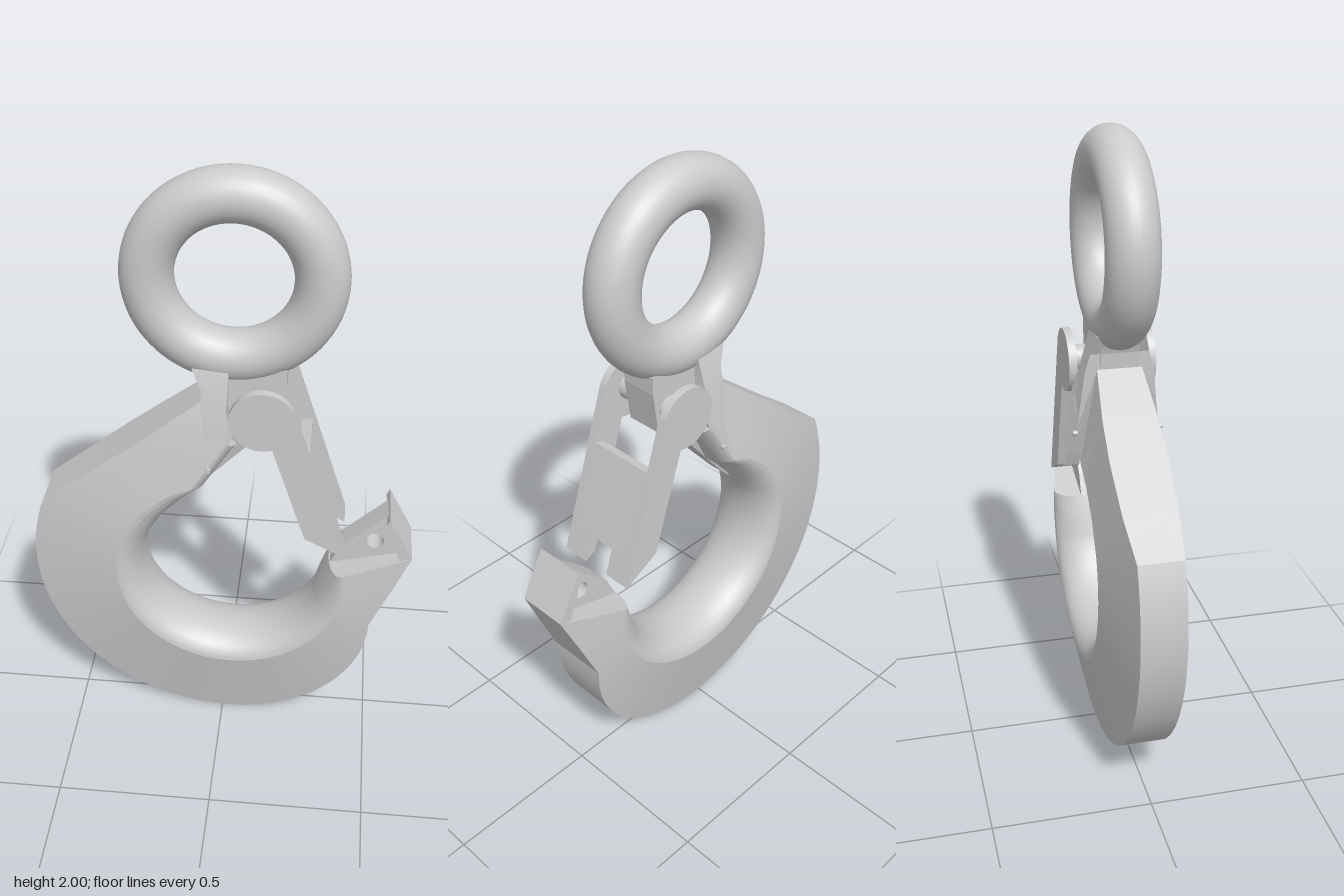
import * as THREE from 'three';
import { toCreasedNormals } from 'three/addons/utils/BufferGeometryUtils.js';

const CX = 0.03, CY = 0.65, R_IN = 0.29, R_CREASE = 0.37, HALF = 0.13;
const material = new THREE.MeshStandardMaterial({ color: 0xcccccc });

export function createModel() {
  const group = new THREE.Group();

  const add = (name, geometry) => {
    const mesh = new THREE.Mesh(geometry, material);
    mesh.name = name;
    group.add(mesh);
    return mesh;
  };

  // Flat outline in the xy plane, given a thickness from z0 to z1
  const plateGeometry = (outline, z0, z1) => {
    const shape = outline instanceof THREE.Shape
      ? outline
      : new THREE.Shape(outline.map(([x, y]) => new THREE.Vector2(x, y)));
    const g = new THREE.ExtrudeGeometry(shape, { depth: z1 - z0, bevelEnabled: false, curveSegments: 32 });
    return g.translate(0, 0, z0);
  };
  const plate = (name, outline, z0, z1) => add(name, plateGeometry(outline, z0, z1));
  const platePair = (name, outline, z0, z1) => {
    plate(name + 'Left', outline, z0, z1);
    plate(name + 'Right', outline, -z1, -z0);
  };
  // Plate whose half thickness depends on height
  const taperedPlate = (name, outline, half) => {
    const g = plateGeometry(outline, -1, 1);
    const p = g.attributes.position;
    for (let i = 0; i < p.count; i++) p.setZ(i, p.getZ(i) * half(p.getY(i)));
    add(name, toCreasedNormals(g, 0.4));
  };
  const rod = (name, x, y, radius, length) => {
    const g = new THREE.CylinderGeometry(radius, radius, length, 32).rotateX(Math.PI / 2);
    add(name, g.translate(x, y, 0));
  };

  // Lifting eye
  add('eyeRing', new THREE.TorusGeometry(0.2525, 0.08, 32, 96)).position.set(0.027, 1.668, 0);

  // Hook body
  add('hookBody', hookGeometry());

  // Tip: recessed web with a hole, and the outer wall
  const web = new THREE.Shape([[0.345, 0.66], [0.6, 0.73], [0.53, 0.885], [0.385, 0.745]]
    .map(([x, y]) => new THREE.Vector2(x, y)));
  const hole = new THREE.Path();
  hole.absarc(0.49, 0.772, 0.028, 0, Math.PI * 2, true);
  web.holes.push(hole);
  plate('tipWeb', web, -0.04, 0.04);
  plate('tipWall', [[0.57, 0.728], [0.61, 0.74], [0.53, 0.89], [0.52, 0.87]], -0.083, 0.083);

  // Neck under the eye, its cheeks and the wedge down the throat
  plate('neck', [[-0.085, 1.4], [-0.065, 1.34], [-0.06, 1.28], [-0.03, 1.08], [0.1, 1.16],
    [0.17, 1.2], [0.19, 1.34], [0.19, 1.4]], -0.06, 0.06);
  taperedPlate('neckCheeks', [[-0.09, 1.4], [-0.062, 1.34], [-0.06, 1.28], [-0.035, 1.08],
    [0.035, 1.2], [0.015, 1.28], [0.02, 1.4]],
  y => THREE.MathUtils.mapLinear(Math.max(y, 1.2), 1.2, 1.4, 0.13, 0.075));
  taperedPlate('throatWedge', [[-0.2, 0.82], [-0.15, 0.87], [0.1, 1.165], [0.1, 1.22], [0.03, 1.2]],
    y => THREE.MathUtils.mapLinear(y, 0.82, 1.22, 0.015, 0.09));
  rod('neckRivet', -0.038, 1.08, 0.008, 0.285);

  // Safety latch: side arms, pivot pin and notched cross plate
  const arm = new THREE.Shape();
  arm.absarc(0.125, 1.265, 0.1, 0.33, -1.25 + Math.PI * 2, false);
  arm.lineTo(0.265, 0.84);
  arm.lineTo(0.39, 0.775);
  platePair('latchArm', arm, 0.113, 0.138);
  rod('latchPin', 0.125, 1.27, 0.04, 0.23);
  plate('latchPlate', [[0.235, 1.12], [0.33, 0.85], [0.362, 0.86], [0.268, 1.13]], -0.115, 0.115);
  platePair('latchFoot', [[0.33, 0.85], [0.352, 0.795], [0.39, 0.775], [0.362, 0.86]], 0.045, 0.115);

  return group;
}

// Body lofted through sections made of an outer, a crease and an inner point
function hookGeometry() {
  const polar = (r, deg) => {
    const a = THREE.MathUtils.degToRad(deg);
    return [CX + r * Math.cos(a), CY + r * Math.sin(a)];
  };

  // Shank
  const stations = [
    [[-0.06, 1.29], [0.02, 1.18], [0.05, 1.14]],
    [[-0.2, 1.18], polar(R_CREASE, 109), [-0.045, 0.99]],
    [[-0.31, 1.094], polar(R_CREASE, 122), [-0.11, 0.925]],
    [[-0.45, 0.984], polar(R_CREASE, 140), polar(R_IN, 140)],
  ];
  // Big left arc, then the smaller right arc
  for (let i = 0; i <= 28; i++) {
    const a = 158 + i * 4;
    stations.push([polar(0.65, a), polar(R_CREASE, a), polar(R_IN, a)]);
  }
  for (let i = 1; i <= 24; i++) {
    const t = i / 24, a = t * Math.PI / 2, b = 270 + 68 * t;
    stations.push([[CX + 0.46 * Math.sin(a), 0.46 - 0.46 * Math.cos(a)], polar(R_CREASE, b), polar(R_IN, b)]);
  }
  // Straight rise to the tip shelf
  stations.push([[0.55, 0.6], polar(R_CREASE, -8), [0.315, 0.6]]);
  stations.push([[0.61, 0.74], [0.392, 0.685], [0.345, 0.67]]);

  const ARC = 16, N = ARC + 3, position = [], index = [];
  for (const [outer, crease, inner] of stations) {
    // Flanks thin out evenly with distance from the bowl centre
    const r = Math.hypot(outer[0] - CX, outer[1] - CY);
    const zo = Math.max(0.07, HALF - (r - R_CREASE) * 0.22);
    position.push(...outer, zo);
    for (let j = 0; j <= ARC; j++) {
      const t = Math.PI * (0.5 - j / ARC), k = 1 - Math.cos(t);
      position.push(
        inner[0] + (crease[0] - inner[0]) * k,
        inner[1] + (crease[1] - inner[1]) * k,
        HALF * Math.sin(t));
    }
    position.push(...outer, -zo);
  }
  const last = stations.length - 1;
  for (let i = 0; i < last; i++) {
    for (let j = 0; j < N; j++) {
      const k = (j + 1) % N, a = i * N + j, b = a + N, c = i * N + k, d = c + N;
      index.push(a, b, c, c, b, d);
    }
  }
  // End caps
  for (let j = 1; j < N - 1; j++) {
    index.push(0, j, j + 1, last * N, last * N + j + 1, last * N + j);
  }
  const g = new THREE.BufferGeometry();
  g.setAttribute('position', new THREE.Float32BufferAttribute(position, 3));
  g.setIndex(index);
  return toCreasedNormals(g, 0.3);
}
